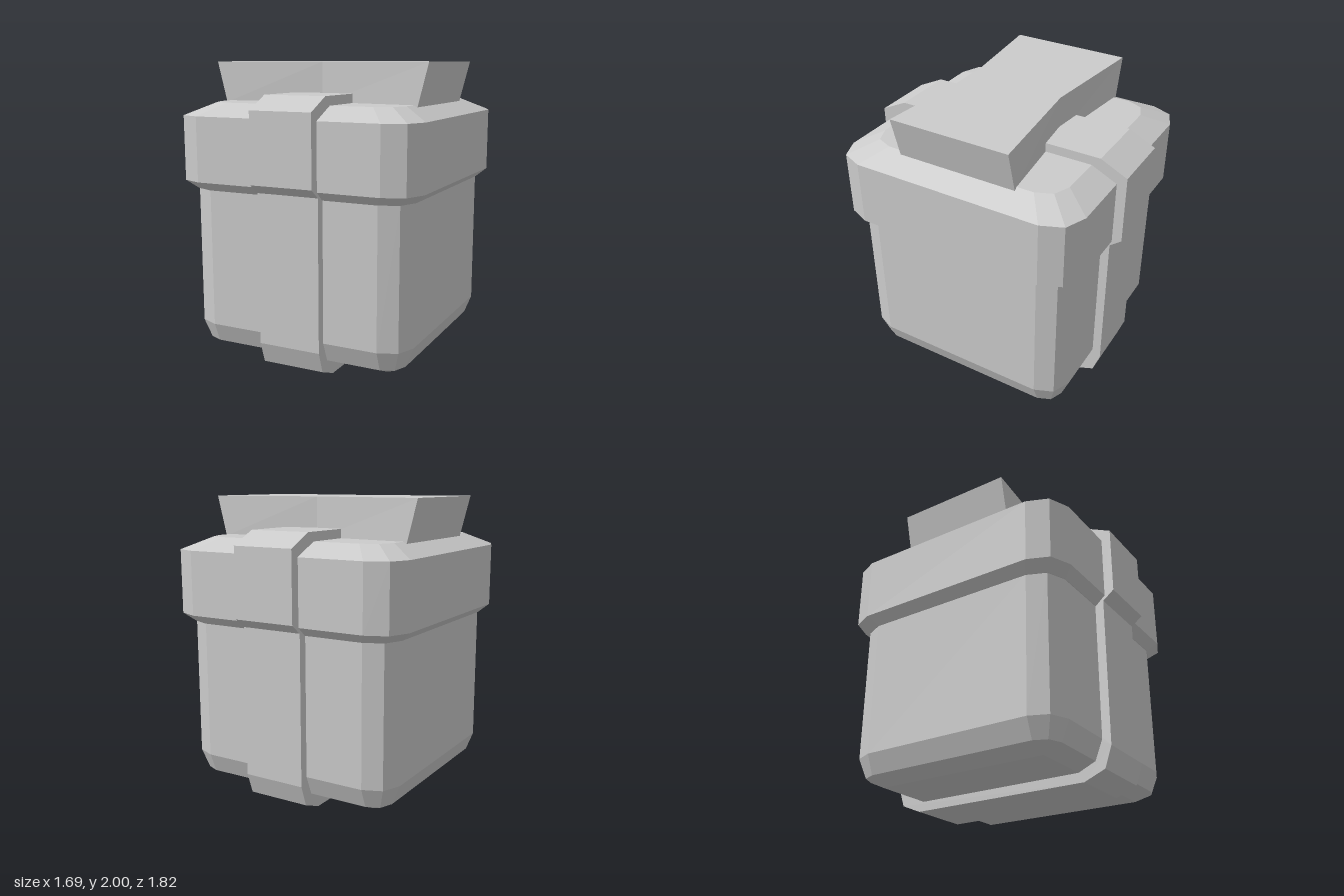
import * as THREE from 'three';

const material = new THREE.MeshStandardMaterial({ color: 0xcccccc, flatShading: true });

// Joins equal-sized rings of [x, y, z] points, lowest first, into a closed solid
function loft(rings) {
  const n = rings[0].length;
  const index = [];
  for (let r = 0; r < rings.length - 1; r++) {
    for (let i = 0; i < n; i++) {
      const j = (i + 1) % n;
      const a = r * n + i, b = r * n + j, c = a + n, d = b + n;
      index.push(a, c, b, b, c, d);
    }
  }
  // Caps fan out from a centre point, so pinched outlines work too
  const points = rings.flat();
  const bottom = points.length, top = bottom + 1;
  points.push([0, rings[0][0][1], 0], [0, rings.at(-1)[0][1], 0]);
  const last = (rings.length - 1) * n;
  for (let i = 0; i < n; i++) {
    const j = (i + 1) % n;
    index.push(bottom, i, j, top, last + j, last + i);
  }
  const geometry = new THREE.BufferGeometry();
  geometry.setAttribute('position', new THREE.Float32BufferAttribute(points.flat(), 3));
  geometry.setIndex(index);
  const flat = geometry.toNonIndexed();
  flat.computeVertexNormals();
  return flat;
}

// Square ring with two-facet rounded corners: c is the corner centre, r its radius
function roundedRing(y, c, r) {
  const ring = [];
  for (let k = 0; k < 4; k++) {
    const q = k * Math.PI / 2;
    const sx = k === 0 || k === 3 ? 1 : -1;
    const sz = k < 2 ? 1 : -1;
    for (let s = 0; s < 3; s++) {
      const a = q + s * Math.PI / 4;
      ring.push([sx * c + r * Math.cos(a), y, sz * c + r * Math.sin(a)]);
    }
  }
  return ring;
}

export function createModel() {
  const group = new THREE.Group();
  const add = (name, geometry) => {
    const mesh = new THREE.Mesh(geometry, material);
    mesh.name = name;
    group.add(mesh);
  };

  // Box with bevelled lower edges
  add('boxBody', loft([
    roundedRing(0.065, 0.6, 0.004),
    roundedRing(0.118, 0.6, 0.122),
    roundedRing(0.248, 0.6, 0.174),
    roundedRing(1.18, 0.6, 0.174),
  ]));

  // Wider lid with bevels above and below
  add('lid', loft([
    roundedRing(1.168, 0.6, 0.178),
    roundedRing(1.227, 0.645, 0.2),
    roundedRing(1.655, 0.645, 0.2),
    roundedRing(1.737, 0.52, 0.153),
  ]));

  // Ribbon band wrapped around front, back, top and bottom
  const half = [[0.64, 0], [0.785, 0.06], [0.833, 0.2], [0.833, 1.19],
    [0.91, 1.25], [0.91, 1.71], [0.73, 1.797]];
  const outline = [...half, ...half.map(([z, y]) => [-z, y]).reverse()];
  const shape = new THREE.Shape(outline.map(([z, y]) => new THREE.Vector2(z, y)));
  const ribbon = new THREE.ExtrudeGeometry(shape, { depth: 0.43, bevelEnabled: false });
  ribbon.rotateY(-Math.PI / 2).translate(0.232, 0, 0);
  add('ribbon', ribbon);

  // Pinched bow, flaring outward toward its top
  const bowRing = (y, x) => [[x, y, -0.41], [x, y, 0.41], [0, y, 0.33],
    [-x, y, 0.41], [-x, y, -0.41], [0, y, -0.33]];
  add('bow', loft([bowRing(1.725, 0.7), bowRing(2, 0.77)]));

  return group;
}
